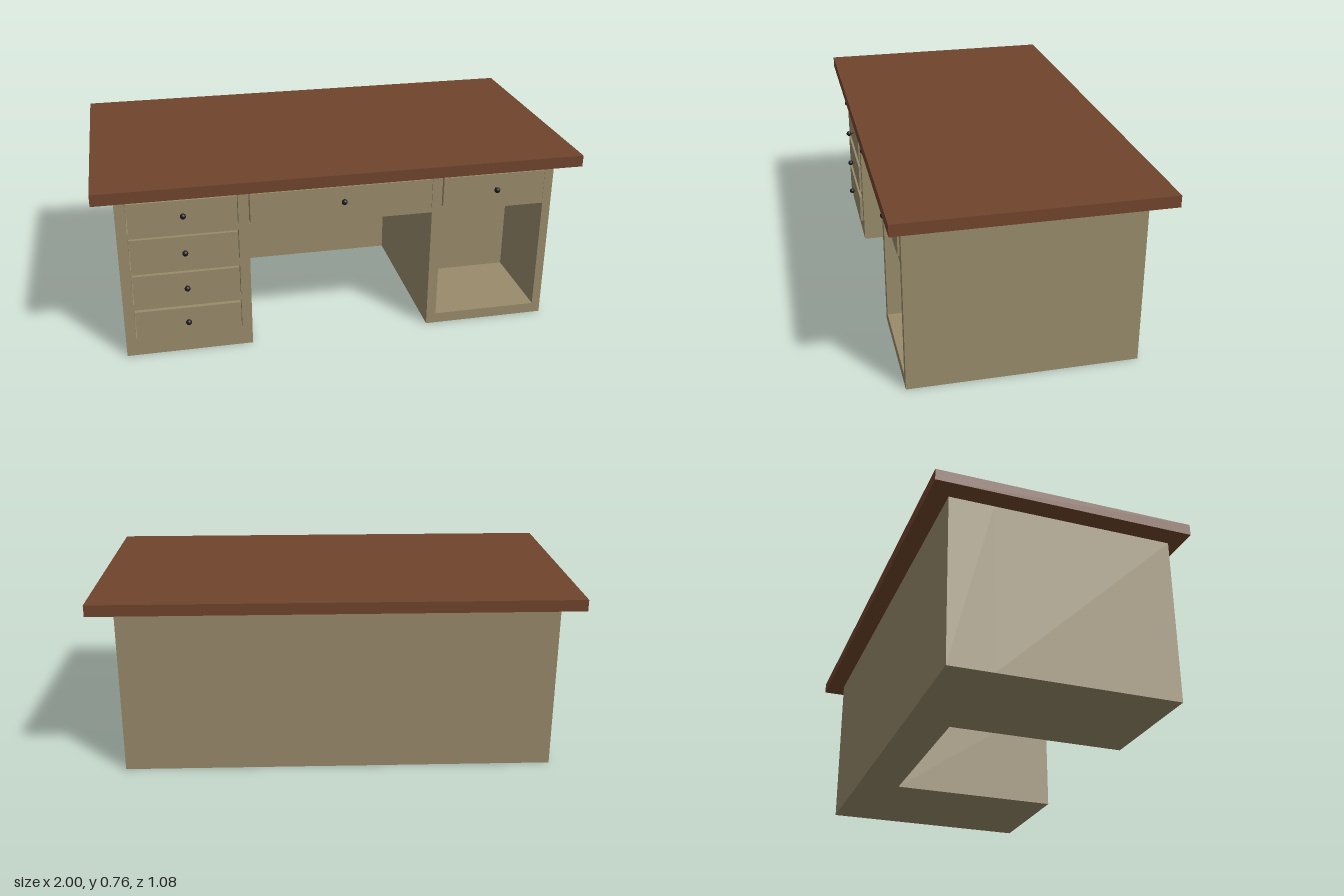
import * as THREE from 'three';

const mat = (name, color) => Object.assign(new THREE.MeshStandardMaterial({ color }), { name });

export function createModel() {
  const desk = new THREE.Group();
  desk.name = 'desk';
  const paint = mat('khakiPaint', 0x988b6b);
  const wood = mat('brownWood', 0x70442c);
  const black = mat('blackKnob', 0x1a1a1e);

  const add = (name, geometry, material, x = 0, y = 0, z = 0, parent = desk) => {
    const mesh = new THREE.Mesh(geometry, material);
    mesh.name = name;
    mesh.position.set(x, y, z);
    parent.add(mesh);
    return mesh;
  };
  // Box given by its two opposite corners
  const box = (name, material, x0, x1, y0, y1, z0, z1, parent = desk) =>
    add(name, new THREE.BoxGeometry(x1 - x0, y1 - y0, z1 - z0), material,
      (x0 + x1) / 2, (y0 + y1) / 2, (z0 + z1) / 2, parent);
  const rectHole = (x0, x1, y0, y1) => new THREE.Path([
    [x0, y0], [x0, y1], [x1, y1], [x1, y0],
  ].map(([x, y]) => new THREE.Vector2(x, y)));

  const FRONT = 0.485, INNER = -0.275, BACK = -0.46, HEIGHT = 0.715;

  // Drawer openings: x0, x1, y0, y1, front z, knob x, knob y
  const drawers = [
    [-0.873, -0.432, 0.559, 0.694, 0.494, -0.652, 0.63],
    [-0.873, -0.432, 0.399, 0.536, 0.491, -0.652, 0.467],
    [-0.873, -0.432, 0.238, 0.375, 0.494, -0.652, 0.307],
    [-0.873, -0.432, 0.078, 0.213, 0.497, -0.655, 0.149],
    [-0.389, 0.374, 0.559, 0.694, 0.492, -0.004, 0.632],
    [0.416, 0.862, 0.559, 0.694, 0.492, 0.645, 0.627],
  ];

  // Carcass: front outline with the kneehole notch, drawer openings and cubby
  const outline = new THREE.Shape([
    [-0.915, 0], [-0.39, 0], [-0.39, 0.538], [0.375, 0.538],
    [0.375, 0], [0.9, 0], [0.9, HEIGHT], [-0.915, HEIGHT],
  ].map(([x, y]) => new THREE.Vector2(x, y)));
  for (const [x0, x1, y0, y1] of drawers) outline.holes.push(rectHole(x0, x1, y0, y1));
  outline.holes.push(rectHole(0.416, 0.864, 0.045, 0.537));
  add('carcass', new THREE.ExtrudeGeometry(outline, { depth: FRONT - INNER, bevelEnabled: false }),
    paint, 0, 0, INNER);
  box('backSection', paint, -0.915, 0.9, 0, HEIGHT, BACK, INNER);
  box('cubbyBack', paint, 0.416, 0.864, 0.045, 0.537, INNER, 0.095);

  // Drawers with round knobs on thin stems
  const knobGeo = new THREE.SphereGeometry(0.012, 16, 12);
  const stemGeo = new THREE.CylinderGeometry(0.003, 0.003, 0.03, 8).rotateX(Math.PI / 2);
  const GAP = 0.004;
  for (const [x0, x1, y0, y1, z, kx, ky] of drawers) {
    const drawer = new THREE.Group();
    drawer.name = 'drawer';
    desk.add(drawer);
    box('drawerFront', paint, x0 + GAP, x1 - GAP, y0 + GAP / 2, y1 - GAP, 0.2, z, drawer);
    add('knobStem', stemGeo, black, kx, ky, 0.498, drawer);
    add('knob', knobGeo, black, kx, ky, 0.513, drawer);
  }

  // Overhanging desktop
  box('desktop', wood, -1, 1, HEIGHT, 0.763, -0.54, 0.54);
  return desk;
}
